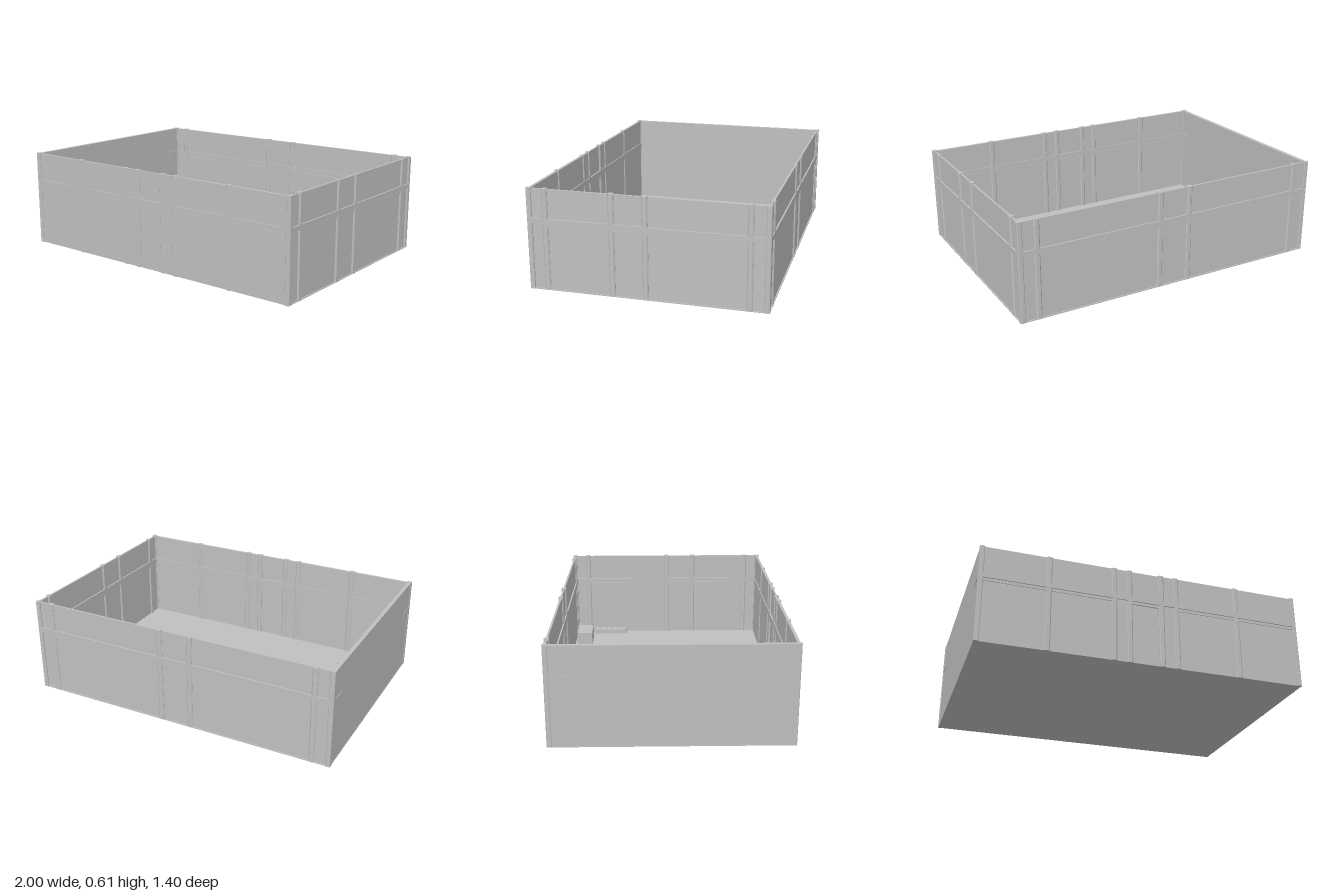
import * as THREE from 'three';

const H = 0.605, HALF_X = 1, HALF_Z = 0.7, THICK = 0.03, POST_W = 0.035;

export function createModel() {
  const model = new THREE.Group();
  model.name = 'walledEnclosure';
  const grey = new THREE.MeshStandardMaterial({ color: 0xc0c0c0 });
  grey.name = 'grey';

  function add(parent, name, geometry, x = 0, y = 0, z = 0) {
    const mesh = new THREE.Mesh(geometry, grey);
    mesh.name = name;
    mesh.position.set(x, y, z);
    parent.add(mesh);
    return mesh;
  }

  // box given by its limits on each axis
  function block(parent, name, x0, x1, y0, y1, z0, z1) {
    return add(parent, name, new THREE.BoxGeometry(x1 - x0, y1 - y0, z1 - z0),
      (x0 + x1) / 2, (y0 + y1) / 2, (z0 + z1) / 2);
  }

  // upright post with chamfered corners
  function postGeometry(w, d, c) {
    const a = w / 2, b = d / 2;
    const shape = new THREE.Shape([
      [-a + c, -b], [a - c, -b], [a, -b + c], [a, b - c],
      [a - c, b], [-a + c, b], [-a, b - c], [-a, -b + c],
    ].map(([x, y]) => new THREE.Vector2(x, y)));
    return new THREE.ExtrudeGeometry(shape, { depth: H, bevelEnabled: false }).rotateX(-Math.PI / 2);
  }
  const post = postGeometry(POST_W, THICK, 0.007);

  // framed wall along local x, facing local +z: posts, rails and recessed panels
  function framedWall(name, angle, half, out, posts, bayDepth) {
    const wall = new THREE.Group();
    wall.name = name;
    wall.rotation.y = angle;
    model.add(wall);
    const inner = out - THICK;
    posts.forEach(p => add(wall, 'post', post, p, 0, out - THICK / 2));
    block(wall, 'rail', -half + 0.02, half - 0.02, 0.4, 0.43, inner, out);
    const stops = [-half + 0.012, ...posts, half - 0.012];
    for (let i = 0; i < stops.length - 1; i++) {
      const a = stops[i], b = stops[i + 1], [back, front] = bayDepth(a, b);
      block(wall, 'panel', a, b, 0, H - 0.003, inner + back, out - front);
      if (b - a > 0.12) {
        block(wall, 'railLip', a, b, 0.38, 0.398, inner + 0.003, out - 0.003);
      }
    }
  }
  const thin = () => [0.009, 0.009];
  const frontBay = (a, b) => (a > -0.15 && b < 0.15 ? [0.01, 0.01] : [0.006, 0.007]);
  framedWall('frontWall', 0, HALF_X, HALF_Z, [-0.59, -0.195, -0.1, 0.1, 0.195, 0.59], frontBay);
  framedWall('backWall', Math.PI, HALF_X, HALF_Z, [-0.885, -0.1, 0.1, 0.885], thin);
  // local x runs towards -z on this wall
  framedWall('rightWall', Math.PI / 2, HALF_Z, HALF_X, [-0.59, -0.197, -0.002, 0.588], thin);

  // plain wall with short rail returns at both ends
  block(model, 'plainWall', -0.997, -0.973, 0, H - 0.002, -0.68, 0.68);
  for (const s of [-1, 1]) {
    const z = [s * 0.575, s * 0.69].sort((a, b) => a - b);
    block(model, 'railReturn', -1, -0.967, 0.4, 0.43, z[0], z[1]);
  }

  // corner posts
  const corner = postGeometry(THICK, THICK, 0.004);
  for (const sx of [-1, 1]) for (const sz of [-1, 1]) {
    add(model, 'cornerPost', corner, sx * (HALF_X - THICK / 2), 0, sz * (HALF_Z - THICK / 2));
  }

  // floor
  block(model, 'floor', -0.998, 0.998, 0, 0.006, -0.698, 0.693);

  // shallow tray on the floor
  const tray = new THREE.Group();
  tray.name = 'tray';
  model.add(tray);
  block(tray, 'trayBase', -0.87, -0.61, 0.006, 0.03, 0.44, 0.57);
  block(tray, 'trayTop', -0.855, -0.625, 0.03, 0.036, 0.447, 0.562);

  // small cabinet with a handle near the back wall
  const cabinet = new THREE.Group();
  cabinet.name = 'cabinet';
  model.add(cabinet);
  block(cabinet, 'cabinetBody', 0.655, 0.845, 0.006, 0.1, -0.66, -0.553);
  block(cabinet, 'handle', 0.735, 0.768, 0.06, 0.068, -0.553, -0.549);

  // strip with a row of round buttons by the right wall
  const strip = new THREE.Group();
  strip.name = 'buttonStrip';
  model.add(strip);
  block(strip, 'stripBody', 0.91, 0.965, 0.006, 0.04, -0.58, -0.31);
  const button = new THREE.CylinderGeometry(0.011, 0.011, 0.006, 16);
  for (let i = 0; i < 6; i++) add(strip, 'button', button, 0.937, 0.043, -0.553 + i * 0.0435);

  return model;
}
